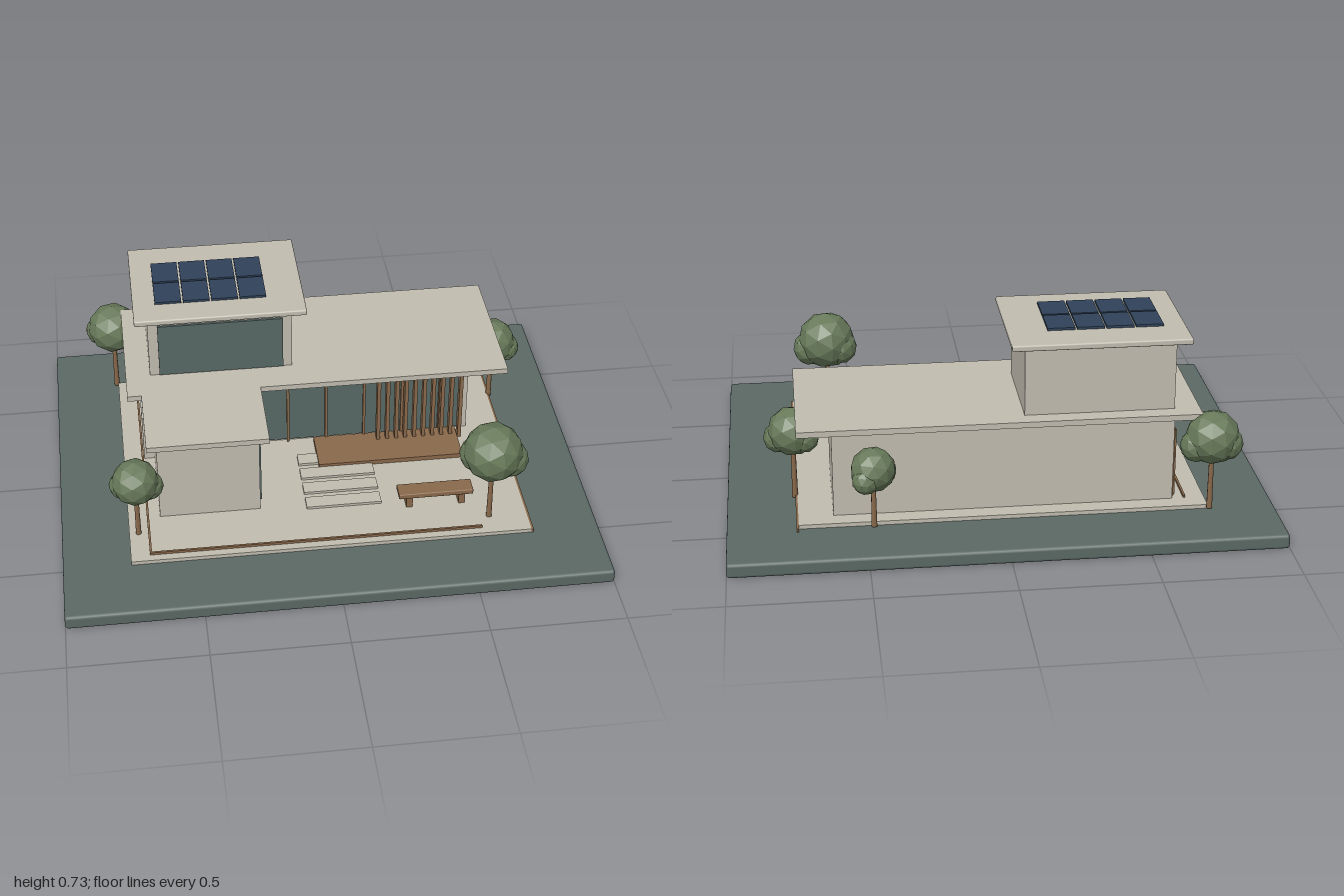
import * as THREE from 'three';
import { RoundedBoxGeometry } from 'three/addons/geometries/RoundedBoxGeometry.js';

const paint = (name, color, extra = {}) =>
  Object.assign(new THREE.MeshStandardMaterial({ color, ...extra }), { name });

export function createModel() {
  const group = new THREE.Group();
  const plaster = paint('plaster', 0xc2bdb0);
  const ground = paint('ground', 0x5b6965);
  const glass = paint('glass', 0x576866);
  const wood = paint('wood', 0x8a694b);
  const solar = paint('solar', 0x30435a);
  const leaf = paint('foliage', 0x687a5a, { flatShading: true });

  // Box given by its lower and upper corner; radius rounds the edges
  function box(name, mat, [x0, y0, z0], [x1, y1, z1], radius = 0, parent = group) {
    const size = [x1 - x0, y1 - y0, z1 - z0];
    const geo = radius ? new RoundedBoxGeometry(...size, 2, radius) : new THREE.BoxGeometry(...size);
    const mesh = new THREE.Mesh(geo, mat);
    mesh.name = name;
    mesh.position.set((x0 + x1) / 2, (y0 + y1) / 2, (z0 + z1) / 2);
    parent.add(mesh);
    return mesh;
  }

  // Plot and paving
  box('plot', ground, [-1, 0, -0.81], [1, 0.055, 0.81], 0.012);
  box('paving', plaster, [-0.75, 0.05, -0.565], [0.742, 0.07, 0.555]);
  box('pavingEdge', wood, [0.742, 0.05, -0.59], [0.75, 0.069, 0.555]);
  box('frontEdging', wood, [-0.68, 0.07, 0.517], [0.56, 0.08, 0.525]);
  box('leftEdging', wood, [-0.68, 0.07, -0.5], [-0.672, 0.08, 0.517]);

  // Ground floor: long wing and front wing
  box('longWing', plaster, [-0.63, 0.07, -0.5], [0.615, 0.41, -0.1]);
  box('frontWing', plaster, [-0.63, 0.07, -0.1], [-0.25, 0.41, 0.31]);
  box('longRoof', plaster, [-0.72, 0.41, -0.562], [0.74, 0.432, 0.03]);
  box('frontRoof', plaster, [-0.667, 0.41, 0.03], [-0.215, 0.432, 0.353]);

  // Upper floor
  box('upperFloor', plaster, [-0.627, 0.432, -0.5], [-0.08, 0.7, -0.1]);
  box('upperRoof', plaster, [-0.676, 0.697, -0.55], [-0.028, 0.72, -0.04], 0.006);
  box('upperWindow', glass, [-0.59, 0.436, -0.1], [-0.115, 0.656, -0.091]);

  // Glazing towards the terrace
  box('terraceGlass', glass, [-0.25, 0.085, -0.1], [0.585, 0.36, -0.085]);
  box('sideGlass', glass, [-0.25, 0.09, -0.085], [-0.242, 0.36, 0.28]);
  for (let i = 0; i < 5; i++) {
    const x = -0.1 + i * 0.15;
    box('mullion', wood, [x - 0.005, 0.08, -0.09], [x + 0.005, 0.36, -0.075]);
  }

  // Slatted screen
  for (let i = 0; i < 10; i++) {
    const x = 0.252 + i * 0.036;
    box('slat', wood, [x - 0.007, 0.07, -0.065], [x + 0.007, 0.41, -0.033]);
  }

  // Deck and stepping slabs
  box('deck', wood, [0, 0.07, -0.08], [0.565, 0.088, 0.097]);
  for (let i = 0; i < 4; i++) {
    const z = 0.013 + i * 0.088;
    box('steppingSlab', plaster, [-0.077, 0.07, z], [0.208, 0.08, z + 0.06]);
  }

  // Bench
  const bench = new THREE.Group();
  bench.name = 'bench';
  group.add(bench);
  box('benchSeat', wood, [0.268, 0.116, 0.313], [0.552, 0.137, 0.38], 0.004, bench);
  for (const x of [0.31, 0.51])
    box('benchLeg', wood, [x - 0.012, 0.07, 0.325], [x + 0.012, 0.118, 0.372], 0, bench);

  // Side door with boards, and utility cabinet
  box('sideDoor', wood, [-0.638, 0.07, -0.48], [-0.63, 0.34, -0.22]);
  for (let i = 0; i < 6; i++) {
    const z = -0.475 + i * 0.043;
    box('doorBoard', wood, [-0.644, 0.075, z], [-0.637, 0.335, z + 0.035]);
  }
  box('utilityCabinet', plaster, [-0.67, 0.07, -0.16], [-0.6, 0.265, -0.05]);

  // Solar panels
  for (let i = 0; i < 4; i++)
    for (let j = 0; j < 2; j++) {
      const x = -0.592 + i * 0.107, z = -0.42 + j * 0.142;
      box('solarPanel', solar, [x, 0.722, z], [x + 0.1, 0.731, z + 0.132]);
    }

  // Trees: x, z, crown height, crown radius, direction of the side clump
  const trees = [
    [-0.715, 0.395, 0.315, 0.088, 0.4],
    [-0.755, -0.57, 0.345, 0.1, 0.3],
    [0.472, -0.58, 0.285, 0.082, 1.2],
    [0.75, -0.31, 0.328, 0.092, 0.1],
    [0.598, 0.458, 0.375, 0.113, 0.2],
  ];
  for (const [x, z, y, r, turn] of trees) {
    const tree = new THREE.Group();
    tree.name = 'tree';
    tree.position.set(x, 0, z);
    tree.rotation.y = turn;
    group.add(tree);
    const trunk = new THREE.Mesh(new THREE.CylinderGeometry(0.008, 0.011, y - 0.06, 8), wood);
    trunk.name = 'trunk';
    trunk.position.y = (y + 0.06) / 2;
    tree.add(trunk);
    for (const [dx, dy, dz, s] of [[0, 0, 0, 1], [0.55, -0.3, 0.15, 0.62], [-0.4, -0.2, -0.3, 0.62]]) {
      const clump = new THREE.Mesh(new THREE.IcosahedronGeometry(r * s, 1), leaf);
      clump.name = 'crown';
      clump.position.set(dx * r, y + dy * r, dz * r);
      tree.add(clump);
    }
  }
  return group;
}
